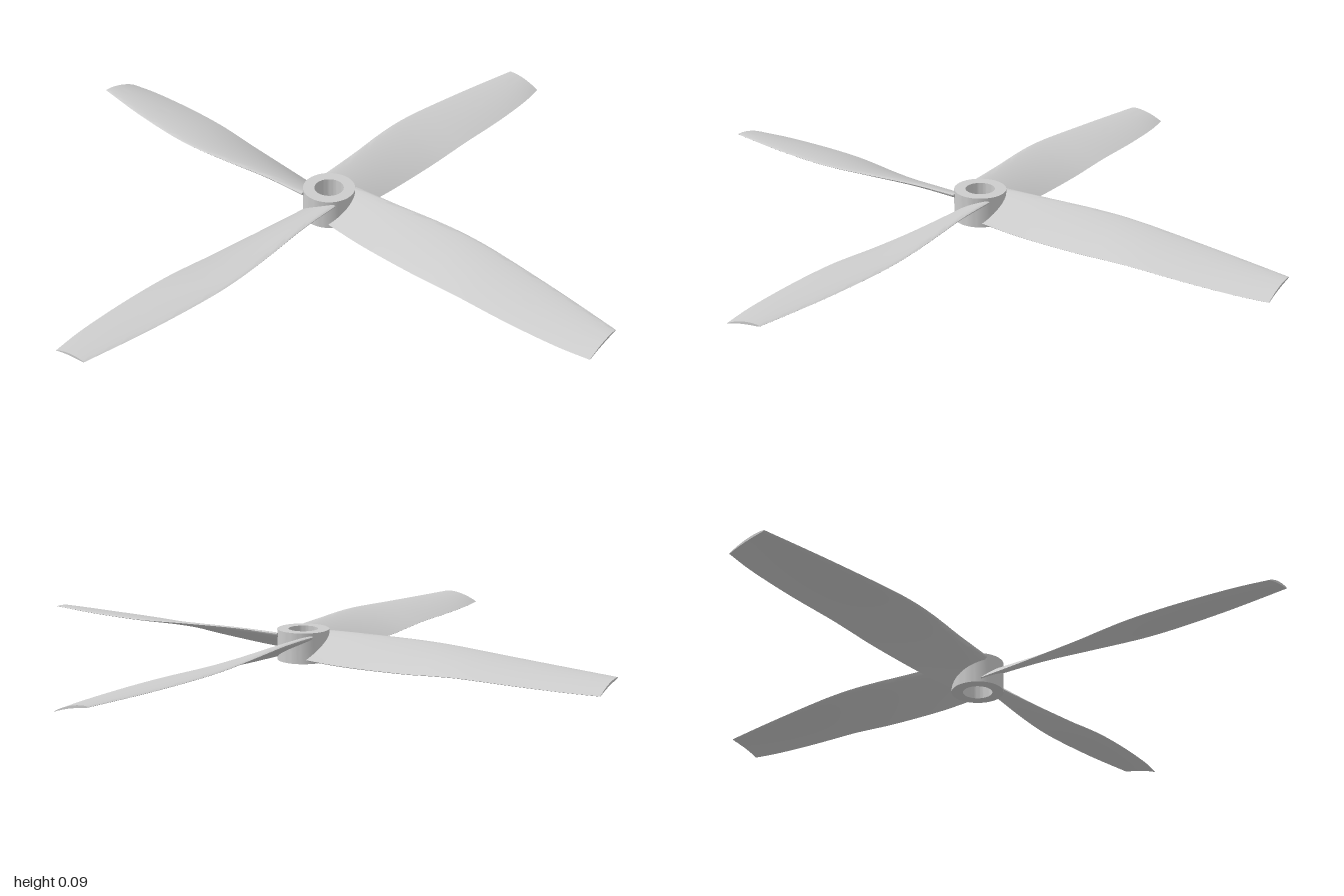
import * as THREE from 'three';
import { toCreasedNormals } from 'three/addons/utils/BufferGeometryUtils.js';

const material = new THREE.MeshStandardMaterial({ color: 0xcccccc });

// smooth curve through [radius, value] stations
const spline = (pts) => {
  const curve = new THREE.SplineCurve(pts.map(([x, y]) => new THREE.Vector2(x, y)));
  const dense = curve.getPoints(200);
  return (x) => {
    let i = 1;
    while (i < 200 && dense[i].x < x) i++;
    const a = dense[i - 1], b = dense[i];
    return a.y + (b.y - a.y) * THREE.MathUtils.clamp((x - a.x) / (b.x - a.x), 0, 1);
  };
};

// plan outline, edge heights and thickness along the blade
const leadZ = spline([[0.05, -0.071], [0.2, -0.08], [0.36, -0.098], [0.48, -0.105], [0.6, -0.1], [0.8, -0.077], [1, -0.045]]);
const trailZ = spline([[0.05, 0.06], [0.2, 0.075], [0.4, 0.088], [0.6, 0.097], [0.75, 0.098], [0.9, 0.09], [1, 0.075]]);
const leadY = spline([[0.05, 0.084], [0.2, 0.086], [0.4, 0.083], [0.6, 0.074], [0.8, 0.069], [1, 0.067]]);
const trailY = spline([[0.05, 0.011], [0.2, 0.012], [0.4, 0.021], [0.5, 0.029], [0.6, 0.035], [0.8, 0.037], [1, 0.038]]);
const thick = spline([[0.05, 0.018], [0.3, 0.014], [0.6, 0.01], [1, 0.007]]);

// cambered aerofoil sections lofted along +x
function bladeGeometry() {
  const N = 48, H = 16, M = 2 * H;
  const pos = [], idx = [];
  for (let i = 0; i <= N; i++) {
    const x = 0.05 + (0.95 * i) / N;
    const z0 = leadZ(x), z1 = trailZ(x), y0 = leadY(x), y1 = trailY(x);
    const len = Math.hypot(z1 - z0, y1 - y0);
    const nz = (y0 - y1) / len, ny = (z1 - z0) / len;
    for (let j = 0; j < M; j++) {
      const s = (1 - Math.cos((Math.PI * j) / H)) / 2;
      const half = thick(x) * (1.25 * Math.sqrt(s) * (1 - s) + 0.1 * s);
      const off = 0.024 * s * (1 - s) + (j <= H ? half : -half);
      pos.push(x, y0 + (y1 - y0) * s + ny * off, z0 + (z1 - z0) * s + nz * off);
    }
  }
  for (let j = 0; j < M; j++) {
    const k = (j + 1) % M;
    for (let i = 0; i < N; i++) {
      const a = i * M + j, b = i * M + k;
      idx.push(a, b, a + M, b, b + M, a + M);
    }
  }
  // tip and root caps, strips between upper and lower skins
  for (let j = 0; j < H; j++) {
    const up = j, un = j + 1, lo = (M - j) % M, ln = M - j - 1;
    const t = N * M;
    idx.push(t + up, t + un, t + ln, up, ln, un);
    if (j > 0) idx.push(t + up, t + ln, t + lo, up, lo, ln);
  }
  const geo = new THREE.BufferGeometry();
  geo.setAttribute('position', new THREE.Float32BufferAttribute(pos, 3));
  geo.setIndex(idx);
  return toCreasedNormals(geo, 0.8);
}

export function createModel() {
  const propeller = new THREE.Group();
  propeller.name = 'propeller';

  // bored hub
  const profile = [[0.045, 0], [0.08, 0], [0.08, 0.095], [0.045, 0.095], [0.045, 0]];
  const hubGeo = new THREE.LatheGeometry(profile.map(([r, y]) => new THREE.Vector2(r, y)), 64);
  const hub = new THREE.Mesh(toCreasedNormals(hubGeo, 0.6), material);
  hub.name = 'hub';
  propeller.add(hub);

  // four equal blades
  const geo = bladeGeometry();
  for (let i = 0; i < 4; i++) {
    const blade = new THREE.Mesh(geo, material);
    blade.name = `blade${i + 1}`;
    blade.rotation.y = (i * Math.PI) / 2;
    propeller.add(blade);
  }
  return propeller;
}
